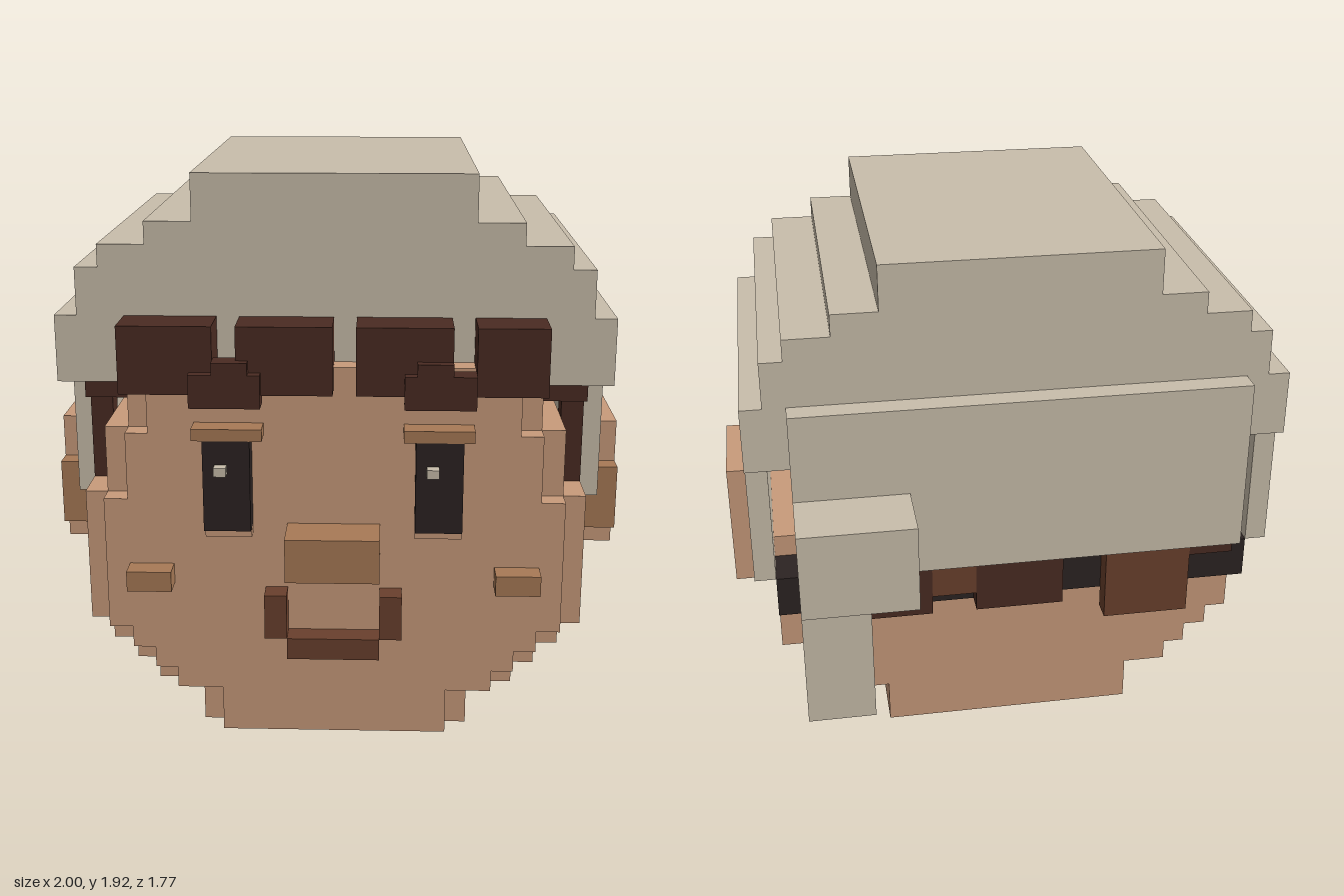
import * as THREE from 'three';

const mat = (name, color) => Object.assign(new THREE.MeshStandardMaterial({ color }), { name });

export function createModel() {
  const model = new THREE.Group();
  model.name = 'blockHead';
  const cloth = mat('cloth', 0xc9beab);
  const skin = mat('skin', 0xc99b7b);
  const tan = mat('tanSkin', 0xa87a56);
  const darkHair = mat('darkHair', 0x4a2b22);
  const redHair = mat('redBrown', 0x6a402d);
  const black = mat('black', 0x2c2322);

  const add = (name, geometry, material) => {
    const mesh = new THREE.Mesh(geometry, material);
    mesh.name = name;
    model.add(mesh);
    return mesh;
  };
  // Box given by its limits on each axis
  const box = (name, material, x0, x1, y0, y1, z0, z1) => {
    const mesh = add(name, new THREE.BoxGeometry(x1 - x0, y1 - y0, z1 - z0), material);
    mesh.position.set((x0 + x1) / 2, (y0 + y1) / 2, (z0 + z1) / 2);
  };
  // The same box on both sides of x = 0
  const pair = (name, material, x0, x1, ...rest) => {
    box(name + 'Left', material, x0, x1, ...rest);
    box(name + 'Right', material, -x1, -x0, ...rest);
  };
  // Symmetric stepped outline, extruded in z; steps are [half width, top y]
  const stepped = (name, material, y0, steps, z0, z1) => {
    const side = [];
    let y = y0;
    for (const [w, top] of steps) {
      side.push([w, y], [w, top]);
      y = top;
    }
    const points = [...side, ...side.map(([w, h]) => [-w, h]).reverse()];
    const shape = new THREE.Shape(points.map(([a, b]) => new THREE.Vector2(a, b)));
    const geometry = new THREE.ExtrudeGeometry(shape, { depth: z1 - z0, bevelEnabled: false });
    add(name, geometry.translate(0, 0, z0), material);
  };

  // Head and face
  stepped('head', skin, 0, [[0.46, 0.16], [0.615, 0.235], [0.69, 0.31], [0.77, 0.385],
    [0.846, 0.85], [0.77, 1.08], [0.69, 1.235]], -0.345, 0.655);
  stepped('facePlate', skin, 0, [[0.385, 0.16], [0.54, 0.235], [0.615, 0.31], [0.69, 0.385],
    [0.77, 0.85], [0.69, 1.08], [0.615, 1.235]], 0.655, 0.73);
  for (const [a, b] of [[-0.385, -0.31], [0, 0.075], [0.385, 0.46]])
    box('forehead', skin, a, b, 1.235, 1.31, 0.655, 0.73);
  box('nose', tan, -0.155, 0.155, 0.62, 0.77, 0.73, 0.885);
  box('mouth', redHair, -0.155, 0.155, 0.31, 0.385, 0.73, 0.81);
  pair('mouthCorner', redHair, 0.155, 0.23, 0.385, 0.54, 0.73, 0.81);
  pair('cheek', tan, 0.54, 0.69, 0.55, 0.62, 0.73, 0.81);

  // Eyes and brows
  pair('eye', black, 0.27, 0.425, 0.77, 1.08, 0.73, 0.81);
  pair('upperLid', tan, 0.23, 0.46, 1.08, 1.12, 0.73, 0.81);
  pair('lowerLid', skin, 0.27, 0.425, 0.735, 0.77, 0.73, 0.77);
  for (const x of [-0.385, 0.305])
    box('eyeGlint', cloth, x, x + 0.04, 0.97, 1.0, 0.81, 0.846);
  pair('brow', darkHair, 0.23, 0.46, 1.2, 1.31, 0.77, 0.846);
  pair('browTop', darkHair, 0.27, 0.385, 1.31, 1.35, 0.77, 0.846);

  // Ears
  pair('ear', skin, 0.846, 1.0, 0.54, 1.0, -0.11, 0.27);
  pair('earFront', tan, 0.846, 1.0, 0.62, 0.85, 0.27, 0.345);

  // Fringe and sideburns
  for (const [a, b] of [[-0.69, -0.385], [-0.31, 0], [0.075, 0.385], [0.46, 0.69]])
    box('fringe', darkHair, a, b, 1.235, 1.46, 0.655, 0.81);
  pair('sideburn', darkHair, 0.77, 0.846, 0.85, 1.235, 0.42, 0.5);
  pair('sideburnTop', darkHair, 0.69, 0.846, 1.16, 1.235, 0.5, 0.58);

  // Back hair: dark core, then locks of uneven length [x0, x1, bottom, colour]
  box('backHairCore', black, -0.846, 0.846, 0.62, 0.77, -0.5, -0.345);
  box('backHairUpper', black, -0.77, 0.77, 0.77, 1.235, -0.5, -0.345);
  box('backHairBand', redHair, -0.77, 0.77, 0.85, 1.235, -0.575, -0.5);
  for (const [a, b, bottom, m] of [[0.54, 0.77, 0.62, redHair], [0.31, 0.54, 0.62, darkHair],
    [0.155, 0.31, 0.69, redHair], [-0.155, 0.155, 0.62, darkHair],
    [-0.615, -0.31, 0.54, redHair], [-0.77, -0.615, 0.77, darkHair]])
    box('backLock', m, a, b, bottom, 0.85, -0.575, -0.5);

  // Head wrap with side flaps, back band, knot and tail
  stepped('wrap', cloth, 1.235, [[0.92, 1.46], [0.846, 1.62], [0.77, 1.695], [0.615, 1.77],
    [0.46, 1.925]], -0.575, 0.655);
  pair('wrapFlap', cloth, 0.846, 0.92, 0.77, 1.235, -0.5, 0.42);
  box('wrapBand', cloth, -0.77, 0.77, 0.85, 1.46, -0.655, -0.575);
  box('knot', cloth, 0.385, 0.77, 0.85, 1.155, -0.885, -0.655);
  box('knotTail', cloth, 0.54, 0.77, 0.385, 0.85, -0.81, -0.655);

  return model;
}
